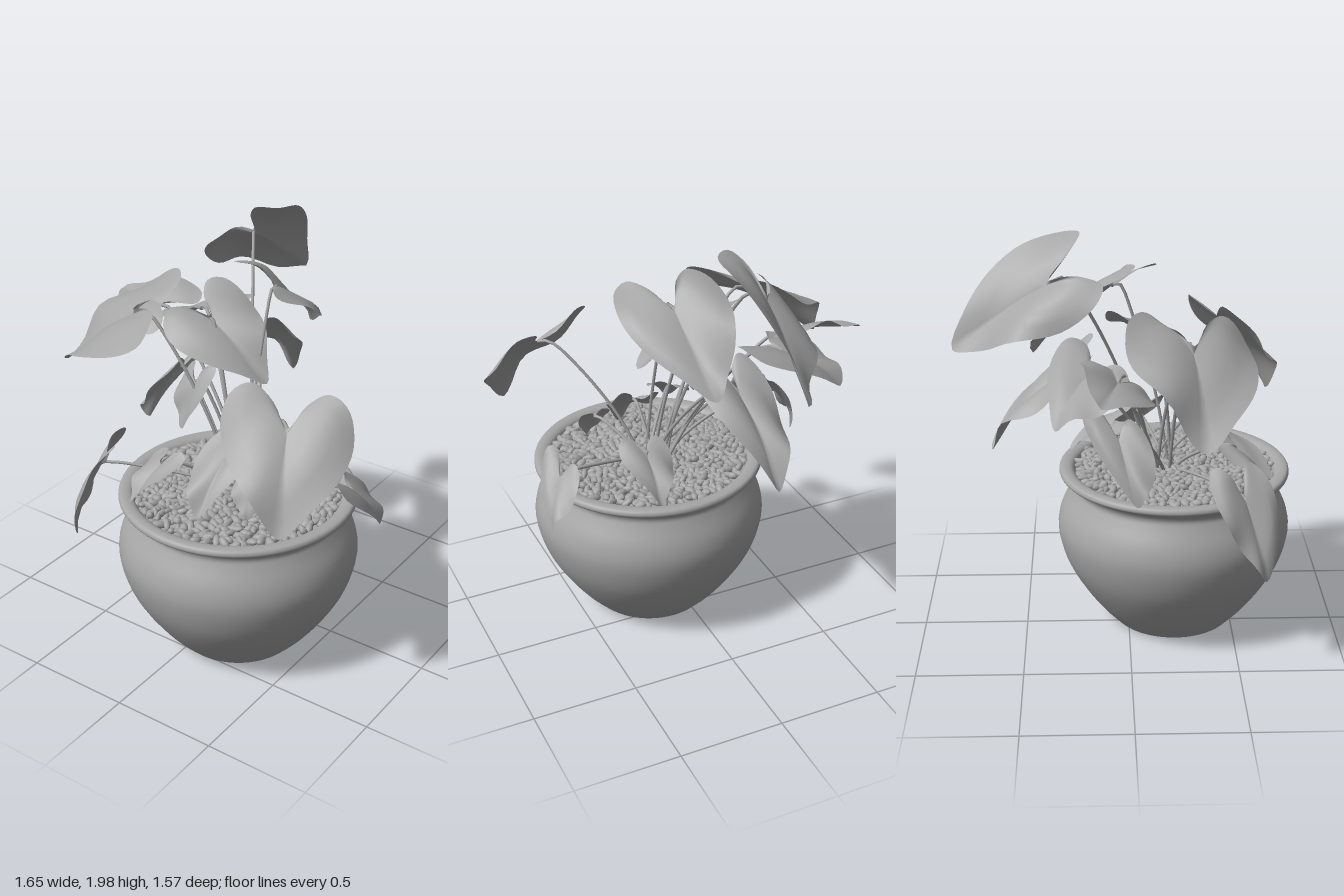
import * as THREE from 'three';
import { mergeGeometries } from 'three/addons/utils/BufferGeometryUtils.js';

const V = (a) => new THREE.Vector3(...a);
const potX = 0.11, potZ = 0.22;

const grey = new THREE.MeshStandardMaterial({ color: 0xa6a6a6, side: THREE.DoubleSide });
grey.name = 'plain grey';

let seed = 7;
const rand = () => (seed = (seed * 16807) % 2147483647) / 2147483647;

// Heart outline: x across (-1..1), y along the midrib from stem (0) to tip (1)
const half = [[0.26, -0.24], [0.6, -0.38], [0.93, -0.24], [1.02, 0.08], [0.84, 0.42], [0.42, 0.76]];
const outline = new THREE.CatmullRomCurve3([
  V([0, 0, 0]), ...half.map(([x, y]) => V([x, y, 0])), V([0, 1.02, 0]),
  ...half.slice().reverse().map(([x, y]) => V([-x, y, 0])),
], true, 'centripetal').getPoints(56);

// Leaf sheet: rings grown from the stem end, cupped along the midrib, wavy at the edge
function leafGeometry(stem, tip, across, wave) {
  const N = V(stem), A = V(tip).sub(N), S = V(across);
  const up = new THREE.Vector3().crossVectors(A, S).normalize();
  if (up.y < 0) up.negate();
  const size = A.length(), rings = 6, n = 56;
  const pos = [], idx = [];
  for (let r = 0; r <= rings; r++) {
    for (let i = 0; i < n; i++) {
      const t = r / rings;
      const s = outline[i].x * t, a = 0.06 + (outline[i].y - 0.06) * t;
      const h = size * (0.2 * Math.abs(s) - 0.2 * s * s + 0.2 * a * (1 - a)
        + 0.05 * t * t * Math.sin(s * 4 + a * 5 + wave));
      const p = N.clone().addScaledVector(A, a).addScaledVector(S, s).addScaledVector(up, h);
      pos.push(p.x, p.y, p.z);
      if (r < rings) {
        const j = (i + 1) % n, q = r * n;
        idx.push(q + i, q + n + i, q + n + j, q + i, q + n + j, q + j);
      }
    }
  }
  const g = new THREE.BufferGeometry();
  g.setAttribute('position', new THREE.Float32BufferAttribute(pos, 3));
  g.setIndex(idx);
  g.computeVertexNormals();
  return g;
}

// Each leaf: name, stem end, tip, half-width vector
const leaves = [
  ['frontLeftLargeLeaf', [0.55, 1.36, 0.49], [0.67, 1.0, 0.73], [0.25, -0.02, -0.11]],
  ['frontRightLargeLeaf', [-0.42, 1.55, 0.26], [-0.81, 1.23, 0.3], [0.1, -0.06, 0.28]],
  ['topBackLeaf', [-0.2, 1.79, -0.35], [-0.17, 1.47, -0.77], [0.18, 0.14, -0.07]],
  ['backCentreLeaf', [0.11, 1.69, -0.08], [0.06, 1.38, -0.43], [0.22, -0.04, 0.08]],
  ['backRightLeaf', [-0.37, 1.43, -0.18], [-0.62, 1.27, -0.33], [0.18, 0.05, -0.14]],
  ['lowerBackLeaf', [-0.1, 1.34, -0.3], [-0.15, 1.0, -0.64], [0.16, 0.03, 0.0]],
  ['upperMiddleLeaf', [-0.13, 1.54, 0.1], [0.19, 1.31, 0.12], [-0.04, -0.07, 0.2]],
  ['farRightLeaf', [-0.53, 1.44, -0.06], [-0.82, 1.42, -0.14], [-0.07, -0.08, 0.15]],
  ['droopingLeaf', [-0.46, 0.87, 0.5], [-0.55, 0.5, 0.6], [0.05, 0.0, 0.13]],
  ['rightSideLeaf', [-0.42, 1.15, -0.06], [-0.57, 0.88, 0.02], [0.04, 0.06, -0.15]],
  ['frontHeartLeaf', [0.14, 1.04, 0.32], [0.13, 0.81, 0.56], [0.14, 0.05, -0.05]],
  ['frontSmallLeaf', [-0.12, 0.97, 0.49], [-0.17, 0.83, 0.65], [0.1, 0.02, 0.03]],
  ['middleSmallLeaf', [-0.14, 1.26, 0.2], [-0.16, 1.04, 0.27], [0.1, 0.02, 0.02]],
  ['tinyFrontLeaf', [0.31, 0.94, 0.41], [0.33, 0.82, 0.46], [0.08, 0.01, -0.02]],
  ['leftSideLeaf', [0.62, 0.88, 0.06], [0.72, 0.68, -0.05], [0.04, 0.03, 0.12]],
  ['backLowLeaf', [0.24, 0.96, -0.06], [0.26, 0.82, -0.28], [0.12, 0.02, 0.0]],
];

export function createModel() {
  const model = new THREE.Group();
  model.name = 'pottedPlant';
  const add = (name, geometry, parent = model) => {
    const mesh = new THREE.Mesh(geometry, grey);
    mesh.name = name;
    parent.add(mesh);
    return mesh;
  };

  // Pot with a rolled rim, open at the top
  const wall = new THREE.SplineCurve([
    [0.3, 0.01], [0.38, 0.1], [0.47, 0.23], [0.53, 0.35], [0.56, 0.48], [0.545, 0.58],
    [0.5, 0.67], [0.485, 0.71], [0.505, 0.745], [0.545, 0.765], [0.552, 0.782],
    [0.54, 0.798], [0.505, 0.798], [0.48, 0.78], [0.465, 0.73],
  ].map(([x, y]) => new THREE.Vector2(x, y))).getPoints(56);
  const base = [[0, 0], [0.29, 0], [0.29, 0]].map(([x, y]) => new THREE.Vector2(x, y));
  add('pot', new THREE.LatheGeometry([...base, ...wall], 64)).position.set(potX, 0, potZ);

  // Gravel bed
  const bed = add('gravelBed', new THREE.CircleGeometry(0.48, 48));
  bed.rotation.x = -Math.PI / 2;
  bed.position.set(potX, 0.765, potZ);

  // Pebbles spread in a jittered spiral, slightly heaped towards the middle
  const pebbles = [], count = 680;
  for (let i = 0; i < count; i++) {
    const r = 0.468 * Math.sqrt((i + 0.5) / count), a = i * 2.39996 + rand() * 0.08;
    const g = new THREE.SphereGeometry(1, 8, 5);
    g.scale(0.024 + rand() * 0.014, 0.013 + rand() * 0.006, 0.013 + rand() * 0.009);
    g.rotateZ((rand() - 0.5) * 1.2);
    g.rotateY(rand() * Math.PI);
    g.translate(potX + r * Math.cos(a), 0.786 - 0.03 * r + rand() * 0.01, potZ + r * Math.sin(a));
    pebbles.push(g);
  }
  add('pebbles', mergeGeometries(pebbles));

  // Leaves, each on an arching stem from the middle of the pot
  leaves.forEach(([name, stem, tip, across], i) => {
    const plant = new THREE.Group();
    plant.name = name;
    model.add(plant);
    add('blade', leafGeometry(stem, tip, across, i * 1.3), plant);
    const N = V(stem), a = i * 2.4;
    const root = V([0.1 + 0.05 * Math.cos(a), 0.76, 0.16 + 0.05 * Math.sin(a)]);
    const at = (h, v) => root.clone().lerp(N, h).setY(root.y + (N.y - root.y) * v);
    const path = new THREE.CatmullRomCurve3([root, at(0.25, 0.42), at(0.62, 0.82), at(0.88, 1.01), N]);
    add('stalk', new THREE.TubeGeometry(path, 20, 0.008, 6), plant);
  });
  return model;
}
